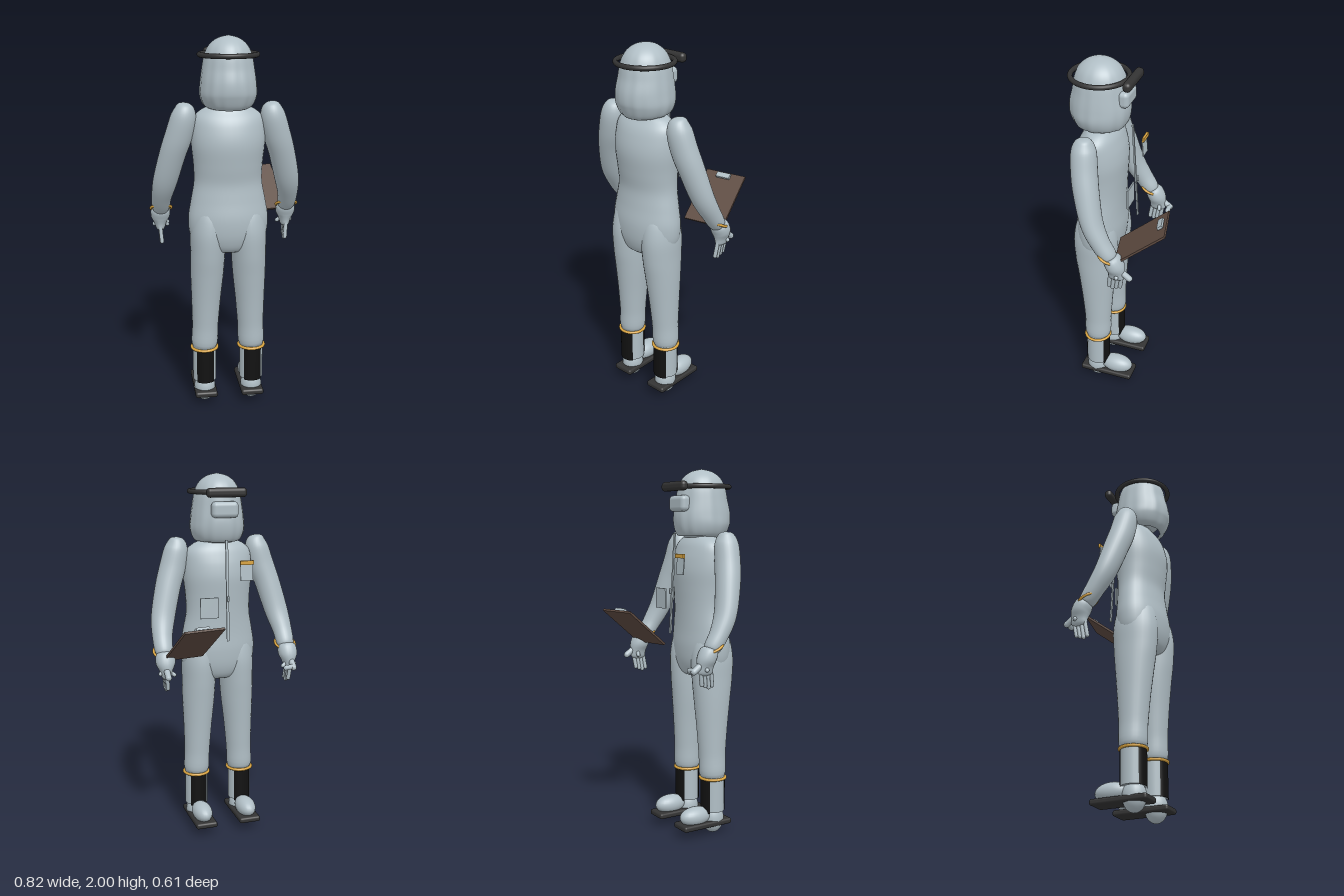
import * as THREE from 'three';
import { RoundedBoxGeometry } from 'three/addons/geometries/RoundedBoxGeometry.js';

const mat = (name, color, side = THREE.FrontSide) => {
  const m = new THREE.MeshStandardMaterial({ color, side });
  m.name = name;
  return m;
};
const suit = mat('paleGrey', 0xb0bec5);
const dark = mat('darkRubber', 0x333333);
const black = mat('bootBlack', 0x111111, THREE.DoubleSide);
const gold = mat('gold', 0xd9a441);
const brown = mat('boardBrown', 0x5d4a40);

// Smooth skin through stations [x, y, z, radiusX, radiusZ]; wave scales the radius.
function loft(stations, steps = 40, segs = 28, wave = () => 1) {
  const path = new THREE.CatmullRomCurve3(stations.map(s => new THREE.Vector3(s[0], s[1], s[2])), false, 'catmullrom', 0.5);
  const size = new THREE.CatmullRomCurve3(stations.map(s => new THREE.Vector3(s[3], s[4], 0)), false, 'catmullrom', 0.5);
  const pos = [], idx = [];
  for (let i = 0; i <= steps; i++) {
    const t = i / steps, c = path.getPoint(t), r = size.getPoint(t), tan = path.getTangent(t);
    const u = new THREE.Vector3(1, 0, 0).addScaledVector(tan, -tan.x).normalize();
    const v = new THREE.Vector3().crossVectors(u, tan);
    for (let j = 0; j < segs; j++) {
      const a = j / segs * Math.PI * 2, w = wave(a, t);
      const p = c.clone().addScaledVector(u, Math.max(0, r.x) * Math.cos(a) * w)
        .addScaledVector(v, Math.max(0, r.y) * Math.sin(a) * w);
      pos.push(p.x, p.y, p.z);
      if (i < steps) {
        const k = i * segs + j, n = i * segs + (j + 1) % segs;
        idx.push(k, k + segs, n, n, k + segs, n + segs);
      }
    }
  }
  const g = new THREE.BufferGeometry();
  g.setAttribute('position', new THREE.Float32BufferAttribute(pos, 3));
  g.setIndex(idx);
  g.computeVertexNormals();
  return g;
}

export function createModel() {
  const model = new THREE.Group();
  const add = (name, geo, material, x = 0, y = 0, z = 0, parent = model) => {
    const m = new THREE.Mesh(geo, material);
    m.name = name;
    m.position.set(x, y, z);
    parent.add(m);
    return m;
  };
  const ball = (name, x, y, z, rx, ry, rz) =>
    add(name, new THREE.SphereGeometry(1, 24, 16), suit, x, y, z).scale.set(rx, ry, rz);
  const finger = (name, from, to, r) => {
    const a = new THREE.Vector3(...from), b = new THREE.Vector3(...to), d = b.clone().sub(a);
    const m = add(name, new THREE.CapsuleGeometry(r, d.length(), 4, 10), suit);
    m.position.copy(a).add(b).multiplyScalar(0.5);
    m.quaternion.setFromUnitVectors(new THREE.Vector3(0, 1, 0), d.normalize());
  };

  // Torso of the coverall, up to the neck
  add('torso', loft([
    [0, 0.87, 0.14, 0, 0], [0, 0.885, 0.14, 0.12, 0.085], [0, 0.95, 0.14, 0.195, 0.12],
    [0, 1.05, 0.14, 0.212, 0.13], [0, 1.15, 0.135, 0.198, 0.122], [0, 1.25, 0.13, 0.18, 0.118],
    [0, 1.35, 0.133, 0.182, 0.127], [0, 1.45, 0.135, 0.192, 0.134], [0, 1.53, 0.133, 0.19, 0.122],
    [0, 1.59, 0.13, 0.178, 0.1], [0, 1.63, 0.13, 0.135, 0.075], [0, 1.66, 0.13, 0.07, 0.06],
    [0, 1.75, 0.13, 0.06, 0.06],
  ], 60, 36), suit);

  // Bobbed hair with soft strands
  add('hair', loft([
    [0, 1.66, 0.145, 0, 0], [0, 1.635, 0.145, 0.09, 0.095], [0, 1.65, 0.145, 0.125, 0.13],
    [0, 1.7, 0.142, 0.146, 0.152], [0, 1.76, 0.142, 0.144, 0.156], [0, 1.83, 0.14, 0.135, 0.143],
    [0, 1.9, 0.14, 0.122, 0.13], [0, 1.95, 0.14, 0.098, 0.105], [0, 1.985, 0.14, 0.055, 0.06],
    [0, 2, 0.14, 0, 0],
  ].slice(1), 44, 72, (a, t) => 1 + 0.014 * (1 - t) * (Math.cos(11 * a + 2 * t) + 0.7 * Math.cos(17 * a))), suit);
  ball('chin', 0, 1.72, 0.135, 0.09, 0.085, 0.12);

  // Head gear
  add('headBand', new THREE.TorusGeometry(0.147, 0.013, 14, 56), dark, 0, 1.905, 0.143).rotation.x = Math.PI / 2;
  add('headLamp', new RoundedBoxGeometry(0.22, 0.05, 0.044, 4, 0.02), dark, 0, 1.905, -0.032);
  add('goggles', new RoundedBoxGeometry(0.145, 0.085, 0.06, 4, 0.024), suit, 0, 1.815, 0);

  // Front fastener, badge and pocket
  add('zipper', new THREE.BoxGeometry(0.014, 0.54, 0.008), suit, 0, 1.39, -0.045).rotation.x = 0.055;
  add('zipperPull', new THREE.CapsuleGeometry(0.006, 0.02, 4, 8), suit, 0, 1.35, -0.06);
  add('badgeBar', new THREE.BoxGeometry(0.076, 0.022, 0.012), gold, -0.103, 1.54, -0.063);
  add('badgeCard', new THREE.BoxGeometry(0.07, 0.09, 0.005), suit, -0.103, 1.488, -0.06).rotation.x = 0.08;
  add('pocket', new THREE.BoxGeometry(0.1, 0.11, 0.008), suit, 0.103, 1.305, -0.055);

  for (const s of [-1, 1]) {
    // Trouser leg
    add('trouserLeg', loft([
      [s * 0.13, 0.325, 0.133, 0, 0], [s * 0.13, 0.328, 0.133, 0.066, 0.068], [s * 0.125, 0.45, 0.133, 0.071, 0.076],
      [s * 0.12, 0.6, 0.135, 0.079, 0.088], [s * 0.114, 0.75, 0.138, 0.089, 0.104],
      [s * 0.11, 0.87, 0.141, 0.093, 0.118], [s * 0.106, 1, 0.142, 0.095, 0.122],
      [s * 0.1, 1.12, 0.14, 0.07, 0.09], [s * 0.1, 1.17, 0.14, 0, 0],
    ], 40), suit);

    // Boot: shaft with black panels, cuff ring, heel, toe and sole
    add('bootShaft', new THREE.CylinderGeometry(0.064, 0.064, 0.22, 28), suit, s * 0.13, 0.24, 0.135);
    for (const mid of [0, Math.PI])
      add('bootPanel', new THREE.CylinderGeometry(0.068, 0.068, 0.19, 16, 1, true, mid - 0.76, 1.52), black, s * 0.13, 0.22, 0.135);
    add('ankleRing', new THREE.TorusGeometry(0.07, 0.008, 10, 36), gold, s * 0.13, 0.318, 0.135).rotation.x = Math.PI / 2;
    ball('heel', s * 0.13, 0.082, 0.138, 0.058, 0.082, 0.062);
    ball('toe', s * 0.13, 0.112, 0.02, 0.055, 0.053, 0.095);
    add('sole', new RoundedBoxGeometry(0.122, 0.032, 0.31, 3, 0.012), dark, s * 0.128, 0.064, 0.073);

    // Sleeve
    add('sleeve', loft([
      [s * 0.225, 1.668, 0.143, 0, 0], [s * 0.226, 1.655, 0.143, 0.038, 0.038], [s * 0.23, 1.6, 0.145, 0.064, 0.064],
      [s * 0.255, 1.5, 0.135, 0.071, 0.068], [s * 0.287, 1.4, 0.115, 0.069, 0.066],
      [s * 0.325, 1.25, 0.075, 0.065, 0.058], [s * 0.343, 1.15, 0.025, 0.054, 0.05],
      [s * 0.346, 1.07, -0.028, 0.043, 0.04], [s * 0.346, 1.06, -0.035, 0, 0],
    ], 48), suit);
    add('wristRing', new THREE.TorusGeometry(0.056, 0.007, 10, 36), gold, s * 0.345, 1.078, -0.018).rotation.x = Math.PI / 2 - 0.46;

    // Gloved hand
    add('glove', loft([
      [s * 0.346, 1.085, -0.03, 0, 0], [s * 0.346, 1.07, -0.036, 0.047, 0.042], [s * 0.348, 1.025, -0.058, 0.052, 0.05],
      [s * 0.348, 0.985, -0.065, 0.034, 0.046], [s * 0.348, 0.95, -0.066, 0.022, 0.04], [s * 0.348, 0.935, -0.066, 0, 0],
    ], 24, 20), suit);
    for (let i = 0; i < 4; i++) {
      const z = -0.032 - i * 0.021;
      finger('finger', [s * 0.35, 0.965, z], [s * 0.343, 0.876 + Math.abs(i - 1) * 0.008, z + 0.012], 0.011);
    }
    finger('thumb', [s * 0.352, 1.0, -0.09], [s * 0.352, 0.965, -0.137], 0.017);
    finger('sideFinger', [s * 0.34, 0.99, -0.075], [s * 0.308, 0.965, -0.085], 0.011);
    finger('outerFinger', [s * 0.355, 0.995, -0.07], [s * 0.38, 0.972, -0.075], 0.011);
  }
  finger('curledFinger', [-0.35, 0.97, -0.135], [-0.307, 0.965, -0.135], 0.014);

  // Clipboard, held in one hand
  const board = new THREE.Group();
  board.name = 'clipboard';
  board.position.set(0.22, 1.14, -0.16);
  board.rotation.set(0.66, 0.2, 0, 'YXZ');
  add('board', new THREE.BoxGeometry(0.23, 0.012, 0.32), brown, 0, 0, 0, board);
  add('clip', new THREE.BoxGeometry(0.078, 0.014, 0.03), suit, 0, 0.02, -0.132, board);
  add('clipPost', new THREE.BoxGeometry(0.03, 0.02, 0.012), suit, 0, 0.01, -0.132, board);
  model.add(board);

  return model;
}
